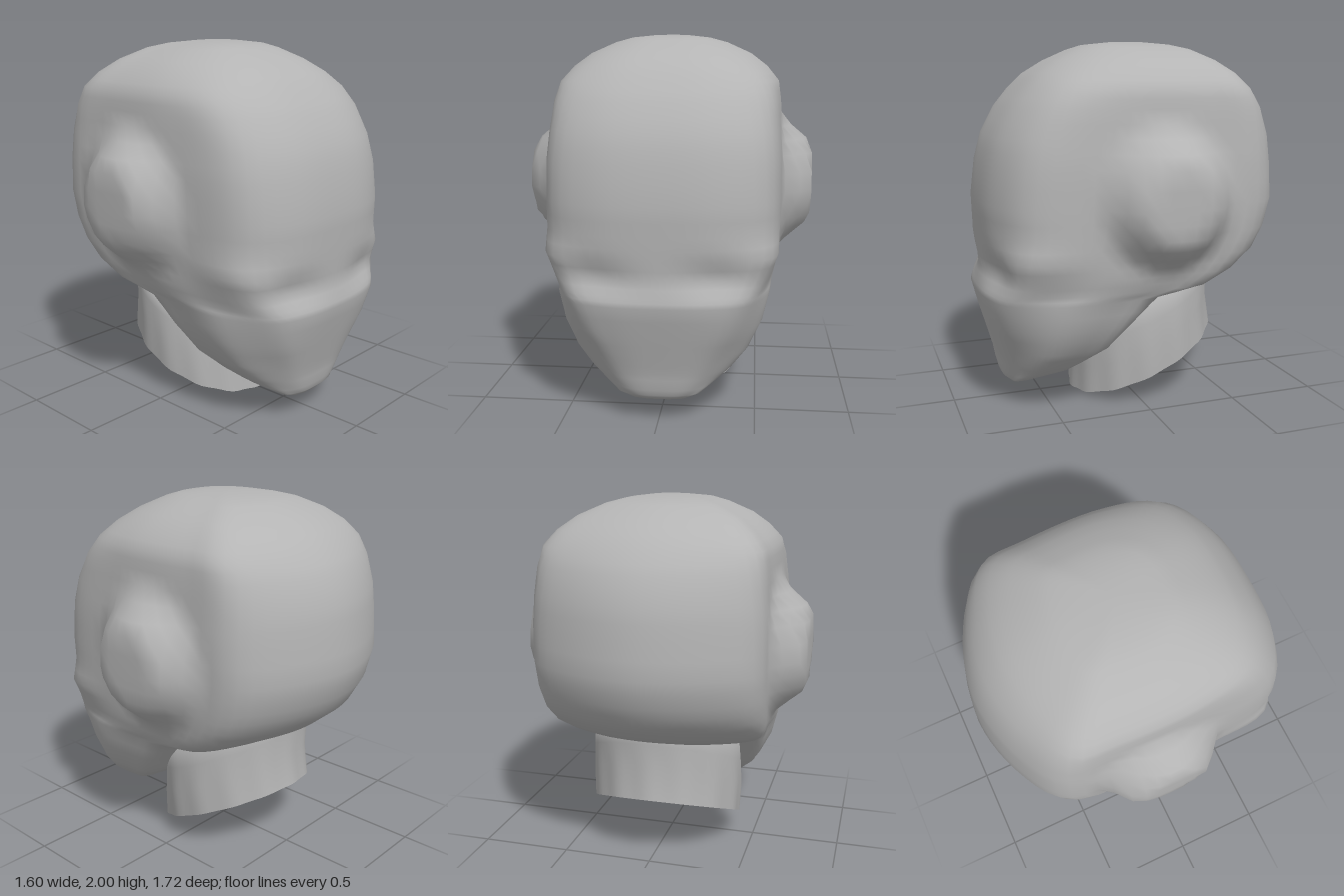
import * as THREE from 'three';

const COLS = 72;

// Skin a stack of closed rings (each COLS points, running front -> +x -> back)
function loft(rings, capBottom, capTop) {
  const pos = [], index = [];
  rings.forEach(r => r.forEach(p => pos.push(p.x, p.y, p.z)));
  for (let i = 0; i < rings.length - 1; i++) {
    for (let j = 0; j < COLS; j++) {
      const a = i * COLS + j, b = i * COLS + (j + 1) % COLS;
      index.push(a, b, a + COLS, b, b + COLS, a + COLS);
    }
  }
  const cap = (row, up) => {
    const mid = new THREE.Vector3();
    rings[row].forEach(p => mid.addScaledVector(p, 1 / COLS));
    const m = pos.length / 3;
    pos.push(mid.x, mid.y, mid.z);
    for (let j = 0; j < COLS; j++) {
      const a = row * COLS + j, b = row * COLS + (j + 1) % COLS;
      if (up) index.push(m, a, b); else index.push(m, b, a);
    }
  };
  if (capBottom) cap(0, false);
  if (capTop) cap(rings.length - 1, true);
  const g = new THREE.BufferGeometry();
  g.setAttribute('position', new THREE.Float32BufferAttribute(pos, 3));
  g.setIndex(index);
  g.computeVertexNormals();
  return g;
}

// Head sections: y, front z, back z, half width, front-corner half width, corner depth
const SECTIONS = [
  [0.12, 0.70, 0.64, 0.13, 0.10, 0.01],
  [0.15, 0.73, 0.57, 0.21, 0.17, 0.03],
  [0.21, 0.745, 0.36, 0.30, 0.21, 0.04],
  [0.27, 0.755, 0.27, 0.37, 0.24, 0.04],
  [0.36, 0.78, 0.13, 0.45, 0.29, 0.05],
  [0.50, 0.82, 0.00, 0.52, 0.37, 0.06],
  [0.65, 0.86, -0.17, 0.56, 0.44, 0.09],
  [0.70, 0.85, -0.48, 0.575, 0.47, 0.10],
  [0.78, 0.83, -0.63, 0.60, 0.52, 0.12],
  [0.88, 0.835, -0.75, 0.615, 0.57, 0.14],
  [1.00, 0.84, -0.82, 0.625, 0.56, 0.17],
  [1.15, 0.845, -0.86, 0.63, 0.56, 0.17],
  [1.35, 0.82, -0.845, 0.63, 0.56, 0.17],
  [1.50, 0.78, -0.825, 0.62, 0.55, 0.17],
  [1.65, 0.70, -0.77, 0.61, 0.54, 0.17],
  [1.75, 0.62, -0.70, 0.595, 0.51, 0.16],
  [1.83, 0.54, -0.62, 0.53, 0.44, 0.15],
  [1.90, 0.43, -0.51, 0.44, 0.36, 0.13],
  [1.96, 0.30, -0.38, 0.31, 0.25, 0.09],
  [1.985, 0.22, -0.27, 0.22, 0.18, 0.06],
  [2.00, 0.08, -0.12, 0.10, 0.08, 0.03],
];

function headRing([y, zf, zb, w, wf, c]) {
  const len = zf - zb;
  const half = [
    [wf * 0.6, zf - c * 0.2], [wf, zf - c], [w, zf - len * 0.34],
    [w, zf - len * 0.68], [w * 0.95, zb + len * 0.15], [w * 0.57, zb + len * 0.05],
  ];
  const pts = [[0, zf], ...half, [0, zb], ...half.slice().reverse().map(([x, z]) => [-x, z])];
  const curve = new THREE.CatmullRomCurve3(pts.map(([x, z]) => new THREE.Vector3(x, y, z)), true);
  return curve.getSpacedPoints(COLS).slice(0, COLS).map(sculpt);
}

// Raise the ear bulges on the sides and press in the eye hollows
function sculpt(p) {
  const r = Math.hypot((p.z + 0.05) / 0.38, (p.y - 1.18) / 0.40);
  if (Math.abs(p.x) > 0.5) {
    p.x += Math.sign(p.x) * 0.16 * (1 - THREE.MathUtils.smoothstep(r, 0.5, 1));
  }
  if (p.z > 0.6) {
    const dx = (Math.abs(p.x) - 0.3) / 0.16, dy = (p.y - 0.79) / 0.08;
    p.z -= 0.035 * Math.exp(-dx * dx - dy * dy);
  }
  return p;
}

// Slanted neck ring: front and back points, half width, outline ripple
function neckRing([zf, yf, zb, yb, w, ripple]) {
  return Array.from({ length: COLS }, (_, j) => {
    const a = j / COLS * Math.PI * 2;
    const s = 1 + ripple * Math.cos(a * 14);
    const t = (1 - Math.cos(a) * s) / 2;
    return new THREE.Vector3(w * Math.sin(a) * s,
      THREE.MathUtils.lerp(yf, yb, t), THREE.MathUtils.lerp(zf, zb, t));
  });
}

export function createModel() {
  const group = new THREE.Group();
  const grey = new THREE.MeshStandardMaterial({ color: 0xb4b4b4 });
  grey.name = 'plain grey';
  const add = (name, geometry) => {
    const mesh = new THREE.Mesh(geometry, grey);
    mesh.name = name;
    group.add(mesh);
  };

  // Skull, face and ears, with one extra ring between each pair of sections
  const rows = [];
  SECTIONS.forEach((s, i) => {
    rows.push(s);
    const n = SECTIONS[i + 1];
    if (n) rows.push(s.map((v, k) => (v + n[k]) / 2));
  });
  add('head', loft(rows.map(headRing), true, true));

  // Neck, cut off on a slant
  const neck = [
    [0.31, 0.005, -0.53, 0.385, 0.425, 0.012],
    [0.30, 0.16, -0.50, 0.57, 0.435, 0.008],
    [0.30, 0.32, -0.51, 0.70, 0.43, 0],
    [0.28, 0.45, -0.50, 0.82, 0.42, 0],
  ].map(neckRing);
  add('neck', loft(neck, false, true));
  add('neckBase', loft([neck[0]], true, false));
  return group;
}
